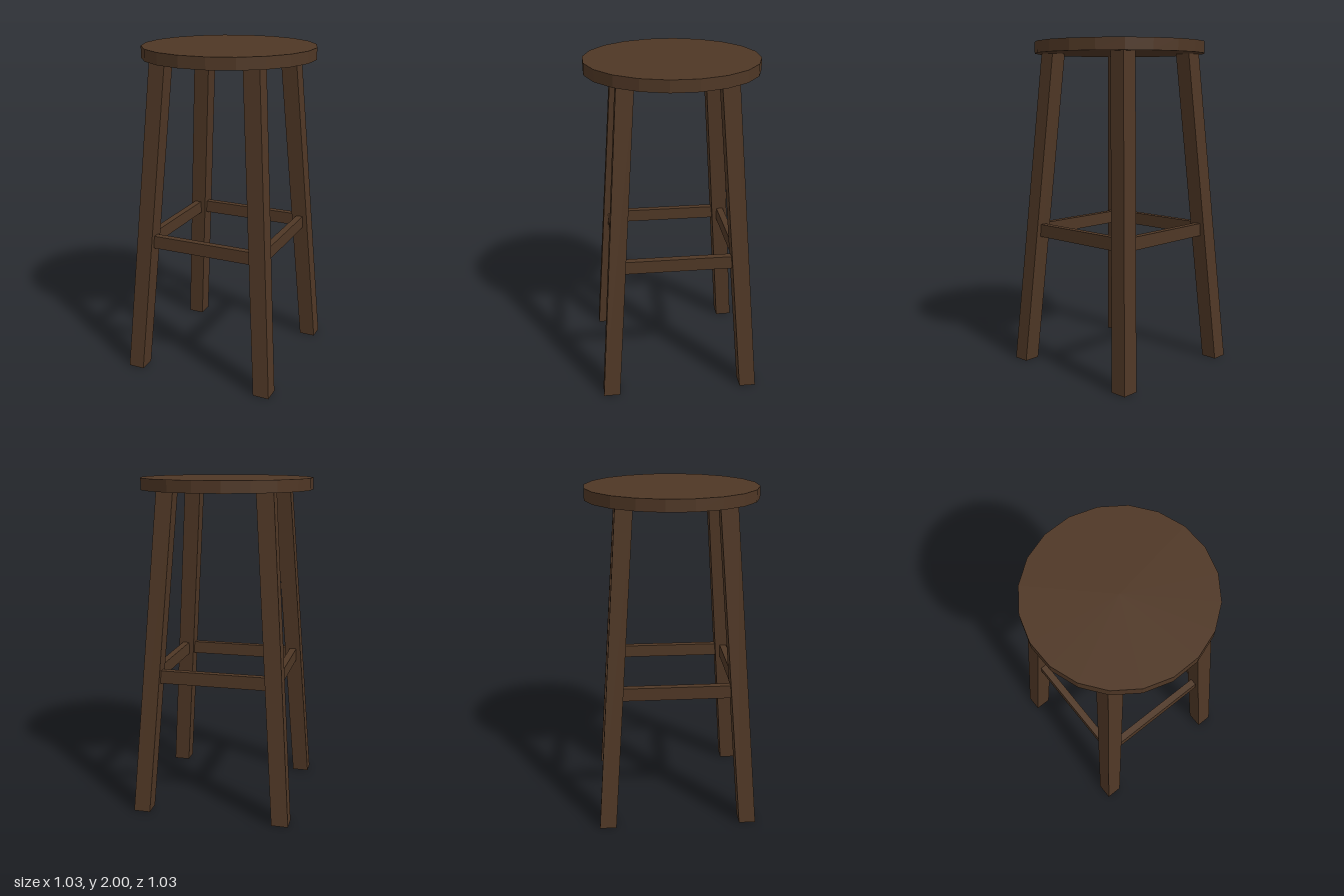
import * as THREE from 'three';

const CX = -0.008, CZ = 0.003;        // leg frame is set slightly off the seat centre
const SEAT_BOTTOM = 1.93, LEG_WIDTH = 0.1;
const FOOT = 0.428, HEAD = 0.291;     // leg centre offsets at floor and seat
const RAIL_Y = 0.842, RAIL_H = 0.078, RAIL_T = 0.042;

const spread = (y) => THREE.MathUtils.lerp(FOOT, HEAD, y / SEAT_BOTTOM);

export function createModel() {
  const stool = new THREE.Group();
  stool.name = 'stool';
  const wood = new THREE.MeshStandardMaterial({ color: 0x4f3725, flatShading: true });
  wood.name = 'dark wood';

  const add = (name, geometry, parent) => {
    const mesh = new THREE.Mesh(geometry, wood);
    mesh.name = name;
    parent.add(mesh);
    return mesh;
  };

  // Faceted round seat
  const seat = new THREE.CylinderGeometry(0.519, 0.519, 2 - SEAT_BOTTOM, 20, 1, false, THREE.MathUtils.degToRad(10));
  add('seat', seat, stool).position.y = (2 + SEAT_BOTTOM) / 2;

  const frame = new THREE.Group();
  frame.name = 'frame';
  frame.position.set(CX, 0, CZ);
  stool.add(frame);

  // Splayed square leg: a box sheared so its ends stay level
  const leg = (name, sx, sz) => {
    const g = new THREE.BoxGeometry(LEG_WIDTH, SEAT_BOTTOM, LEG_WIDTH);
    g.translate(0, SEAT_BOTTOM / 2, 0);
    const p = g.attributes.position;
    for (let i = 0; i < p.count; i++) {
      const s = spread(p.getY(i));
      p.setX(i, p.getX(i) + sx * s);
      p.setZ(i, p.getZ(i) + sz * s);
    }
    g.computeVertexNormals();
    add(name, g, frame);
  };
  leg('frontLeftLeg', 1, 1);
  leg('frontRightLeg', -1, 1);
  leg('backLeftLeg', 1, -1);
  leg('backRightLeg', -1, -1);

  // Four rails joining the legs, ends sunk into them
  const reach = spread(RAIL_Y);
  ['frontRail', 'leftRail', 'backRail', 'rightRail'].forEach((name, i) => {
    const g = new THREE.BoxGeometry(2 * reach - 0.06, RAIL_H, RAIL_T);
    g.translate(0, RAIL_Y, reach);
    add(name, g, frame).rotation.y = i * Math.PI / 2;
  });

  return stool;
}
